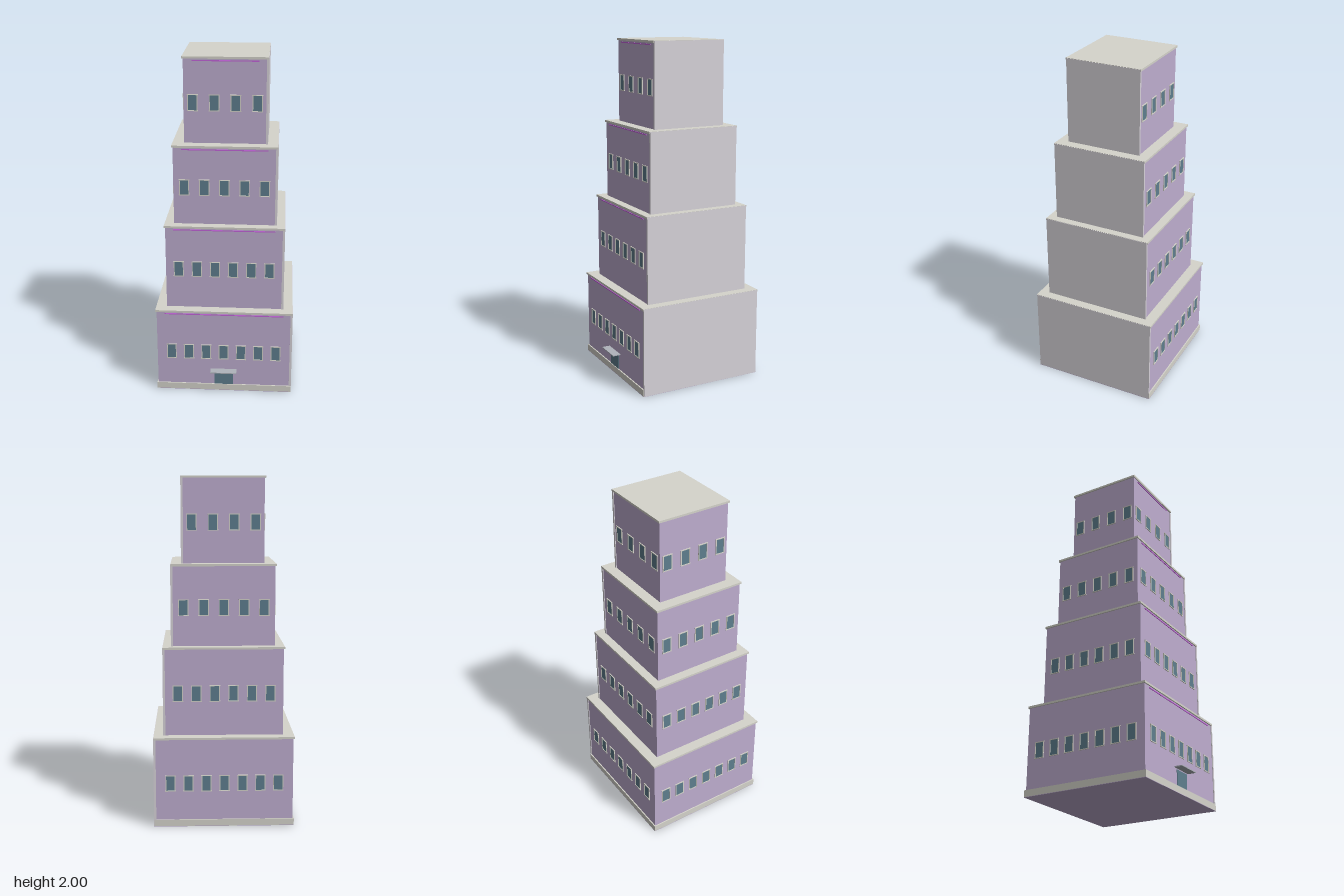
import * as THREE from 'three';

const mat = (color) => new THREE.MeshStandardMaterial({ color });
const WALL = mat(0xbfaed0), PARTY = mat(0xd8d4da), SLAB = mat(0xd6d5cc);
const GLASS = mat(0x5f7f8f), FRAME = mat(0xd6d5cc), STRIP = mat(0xc565dc), CANOPY = mat(0xb0b4bc);

// Box given by its minimum and maximum corners
function block(parent, name, material, [x0, y0, z0], [x1, y1, z1]) {
  const mesh = new THREE.Mesh(new THREE.BoxGeometry(x1 - x0, y1 - y0, z1 - z0), material);
  mesh.position.set((x0 + x1) / 2, (y0 + y1) / 2, (z0 + z1) / 2);
  mesh.name = name;
  parent.add(mesh);
  return mesh;
}

// Framed window facing +z with its back on z = 0
function makeWindow() {
  const g = new THREE.Group();
  g.name = 'window';
  const w = 0.029, h = 0.048, t = 0.005, d = 0.005;
  block(g, 'pane', GLASS, [-w + t, -h + t, -0.002], [w - t, h - t, 0.002]);
  for (const s of [-1, 1]) {
    const x = s * (w - t / 2), y = s * (h - t / 2);
    block(g, 'frameJamb', FRAME, [x - t / 2, -h, -0.002], [x + t / 2, h, d]);
    block(g, 'frameRail', FRAME, [-w - 0.002, y - t / 2, -0.002], [w + 0.002, y + t / 2, d]);
  }
  return g;
}

// Row of n windows on a wall: centre of the row, direction it faces, spacing
function windowRow(parent, name, n, spacing, position, angle) {
  const row = new THREE.Group();
  row.name = name;
  for (let i = 0; i < n; i++) {
    const win = makeWindow();
    win.position.x = (i - (n - 1) / 2) * spacing;
    row.add(win);
  }
  row.position.set(...position);
  row.rotation.y = angle;
  parent.add(row);
}

// Storey blocks: half width, back and front of the roof slab, bottom, top, windows
const TIERS = [
  { hx: 0.405, back: -0.404, front: 0.361, y0: 0, y1: 0.528, n: 7, gap: 0.1035, wy: 0.257 },
  { hx: 0.349, back: -0.349, front: 0.307, y0: 0.528, y1: 1.041, n: 6, gap: 0.106, wy: 0.773 },
  { hx: 0.301, back: -0.304, front: 0.263, y0: 1.041, y1: 1.509, n: 5, gap: 0.115, wy: 1.262 },
  { hx: 0.241, back: -0.247, front: 0.205, y0: 1.509, y1: 2, n: 4, gap: 0.121, wy: 1.741 },
];

function makeTier({ hx, back, front, y0, y1, n, gap, wy }, index) {
  const g = new THREE.Group();
  g.name = 'tier' + (index + 1);
  const over = 0.007, slab = 0.012;
  const left = -hx + over, right = hx - 0.013, zb = back + over, zf = front - over;
  block(g, 'walls', WALL, [left, y0, zb], [right, y1 - slab, zf]);
  // Blank wall covering the whole +x side
  block(g, 'blankWall', PARTY, [right, y0, back + 0.003], [hx, y1 - 0.002, front - 0.003]);
  block(g, 'roofSlab', SLAB, [-hx, y1 - slab, back], [hx - 0.002, y1, front]);
  block(g, 'lightStrip', STRIP,
    [-hx + 0.055, y1 - 0.026, zf], [hx - 0.055, y1 - 0.02, zf + 0.004]);

  const zc = (zb + zf) / 2, sideGap = gap * (zf - zb) / (right - left);
  windowRow(g, 'frontWindows', n, gap, [-0.002, wy, zf], 0);
  windowRow(g, 'backWindows', n, gap, [-0.002, wy, zb], Math.PI);
  windowRow(g, 'sideWindows', n, sideGap, [left, wy, zc], -Math.PI / 2);
  return g;
}

export function createModel() {
  const model = new THREE.Group();
  model.name = 'steppedTower';
  TIERS.forEach((tier, i) => model.add(makeTier(tier, i)));

  // Ground course and underside
  block(model, 'plinth', SLAB, [-0.405, 0.002, -0.404], [0.4035, 0.04, 0.361]);
  block(model, 'underside', WALL, [-0.405, -0.0005, -0.404], [0.405, 0.002, 0.361]);

  // Entrance
  block(model, 'door', GLASS, [-0.056, 0.04, 0.35], [0.056, 0.13, 0.357]);
  block(model, 'canopy', CANOPY, [-0.079, 0.137, 0.35], [0.077, 0.143, 0.403]);
  return model;
}
